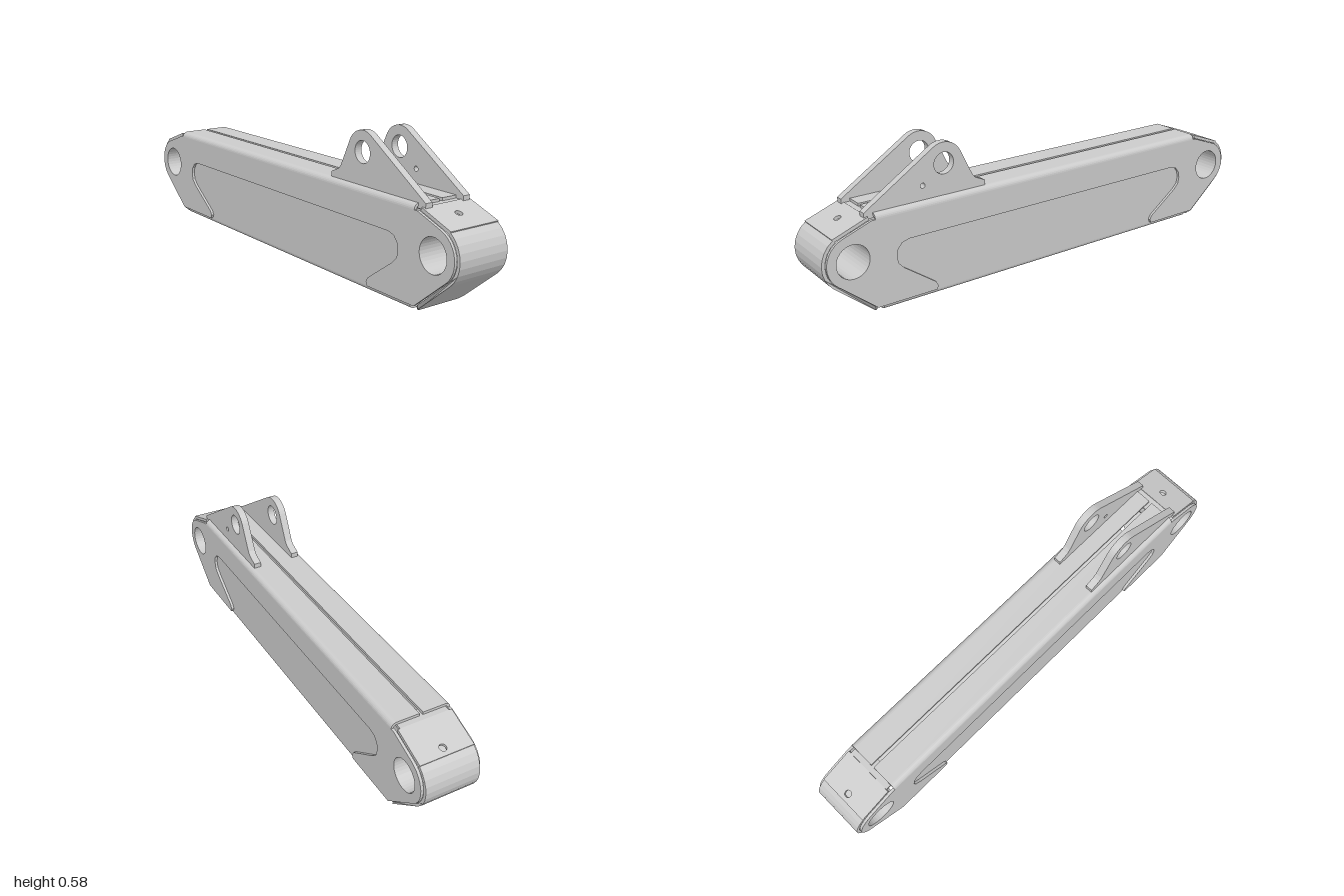
import * as THREE from 'three';

const material = new THREE.MeshStandardMaterial({ color: 0xcccccc, side: THREE.DoubleSide });
const PIN = { x: 0.885, y: 0.225, r: 0.065 };

const makeShape = (pts) => new THREE.Shape(pts.map(([x, y]) => new THREE.Vector2(x, y)));

// points on an arc, angles in degrees
function arc(cx, cy, r, from, to, n) {
  return Array.from({ length: n + 1 }, (_, i) => {
    const a = THREE.MathUtils.degToRad(from + ((to - from) * i) / n);
    return [cx + r * Math.cos(a), cy + r * Math.sin(a)];
  });
}

function addHole(shape, x, y, r) {
  const hole = new THREE.Path();
  hole.absarc(x, y, r, 0, Math.PI * 2, true);
  shape.holes.push(hole);
}

// extrude along z from z0 to z1
function extrude(shape, z0, z1) {
  const g = new THREE.ExtrudeGeometry(shape, { depth: z1 - z0, bevelEnabled: false, curveSegments: 16 });
  return g.translate(0, 0, z0);
}

// extrude a (z, y) profile along x, centred
function extrudeAlongX(pts, length) {
  const shape = makeShape(pts.map(([z, y]) => [-z, y]));
  return extrude(shape, -length / 2, length / 2).rotateY(Math.PI / 2);
}

function add(parent, name, geometry) {
  const mesh = new THREE.Mesh(geometry, material);
  mesh.name = name;
  parent.add(mesh);
  return mesh;
}

// side plate with rounded ends, pin holes and a cut-out open at the bottom
function sidePlateShape() {
  const half = [
    [0.805, 0.361],
    ...arc(PIN.x, PIN.y, 0.101, 70, -50, 12),
    [0.799, 0.022], [0.552, 0.022], [0.545, 0.037], [0.555, 0.055],
    [0.685, 0.148], [0.708, 0.172], [0.713, 0.2], [0.708, 0.226], [0.69, 0.248], [0.66, 0.257],
  ];
  const shape = makeShape([...half, ...half.map(([x, y]) => [-x, y]).reverse()]);
  for (const s of [-1, 1]) addHole(shape, s * PIN.x, PIN.y, PIN.r);
  return shape;
}

// end cap: wrapped strip, sloping panel with grease hole, and pin sleeve
function endCap(name, holeX) {
  const group = new THREE.Group();
  group.name = name;

  const wrap = extrude(makeShape([
    ...arc(PIN.x, PIN.y, 0.115, 55, -50, 8),
    [0.814, 0.015], [0.796, 0], [0.788, 0.01], [0.806, 0.025],
    ...arc(PIN.x, PIN.y, 0.102, -50, 55, 8),
  ]), -0.111, 0.111);
  // chamfer the lower corners
  const p = wrap.attributes.position;
  for (let i = 0; i < p.count; i++) if (p.getY(i) < 0.012) p.setZ(i, p.getZ(i) * 0.87);
  wrap.computeVertexNormals();
  add(group, 'endWrap', wrap);

  const a = THREE.MathUtils.degToRad(70);
  const c = Math.cos(a), s = Math.sin(a);
  const panel = makeShape([[-0.031, -0.111], [0.118, -0.111], [0.118, 0.111], [-0.031, 0.111]]);
  addHole(panel, (PIN.x + 0.115 * c - holeX) / s, 0, 0.014);
  const basis = new THREE.Matrix4().makeBasis(
    new THREE.Vector3(-s, c, 0), new THREE.Vector3(0, 0, 1), new THREE.Vector3(c, s, 0));
  basis.setPosition(PIN.x + 0.102 * c, PIN.y + 0.102 * s, 0);
  add(group, 'slopingPanel', extrude(panel, 0, 0.013).applyMatrix4(basis));
  add(group, 'panelTongue', new THREE.BoxGeometry(0.06, 0.011, 0.2).translate(0.786, 0.3663, 0));

  const ring = new THREE.Shape();
  ring.absarc(PIN.x, PIN.y, 0.08, 0, Math.PI * 2, false);
  addHole(ring, PIN.x, PIN.y, PIN.r);
  add(group, 'pinSleeve', extrude(ring, -0.111, 0.111));
  return group;
}

// upright lug with its pin hole
function lugShape() {
  const shape = makeShape([
    [0.315, 0.364], [0.825, 0.364], [0.825, 0.387],
    ...arc(0.493, 0.505, 0.08, 57, 152, 10),
    [0.37, 0.436], [0.358, 0.422], [0.315, 0.403],
  ]);
  addHole(shape, 0.493, 0.505, 0.042);
  return shape;
}

export function createModel() {
  const model = new THREE.Group();
  model.name = 'linkArm';

  // folded side channels: plate plus rounded top flange
  const plate = sidePlateShape();
  const flange = [
    [0.007, 0.372], [0.007, 0.383],
    ...arc(0.1, 0.361, 0.022, 90, 0, 6),
    ...arc(0.1, 0.361, 0.011, 0, 90, 6),
  ];
  for (const s of [-1, 1]) {
    const side = new THREE.Group();
    side.name = s > 0 ? 'frontChannel' : 'backChannel';
    add(side, 'sidePlate', extrude(plate, s > 0 ? 0.111 : -0.122, s > 0 ? 0.122 : -0.111));
    add(side, 'topFlange', extrudeAlongX(flange.map(([z, y]) => [z * s, y]), 1.58));
    model.add(side);
  }

  // inner tray with rounded lower edges
  const outer = [[0.111, 0.34], ...arc(0.093, 0.018, 0.018, 0, -90, 6)];
  const inner = [...arc(0.093, 0.018, 0.007, -90, 0, 6), [0.1, 0.34]];
  const mirrored = (pts) => pts.map(([z, y]) => [-z, y]).reverse();
  add(model, 'lowerTray', extrudeAlongX(
    [...outer, ...mirrored(outer), ...mirrored(inner), ...inner], 1.54));

  // end caps
  model.add(endCap('leftEndCap', 0.877));
  const right = endCap('rightEndCap', 0.925);
  right.rotation.y = Math.PI;
  model.add(right);

  // pair of lugs, the back one with an extra small hole
  add(model, 'frontLug', extrude(lugShape(), 0.073, 0.103));
  const backLug = lugShape();
  addHole(backLug, 0.585, 0.437, 0.01);
  add(model, 'backLug', extrude(backLug, -0.103, -0.073));

  return model;
}
